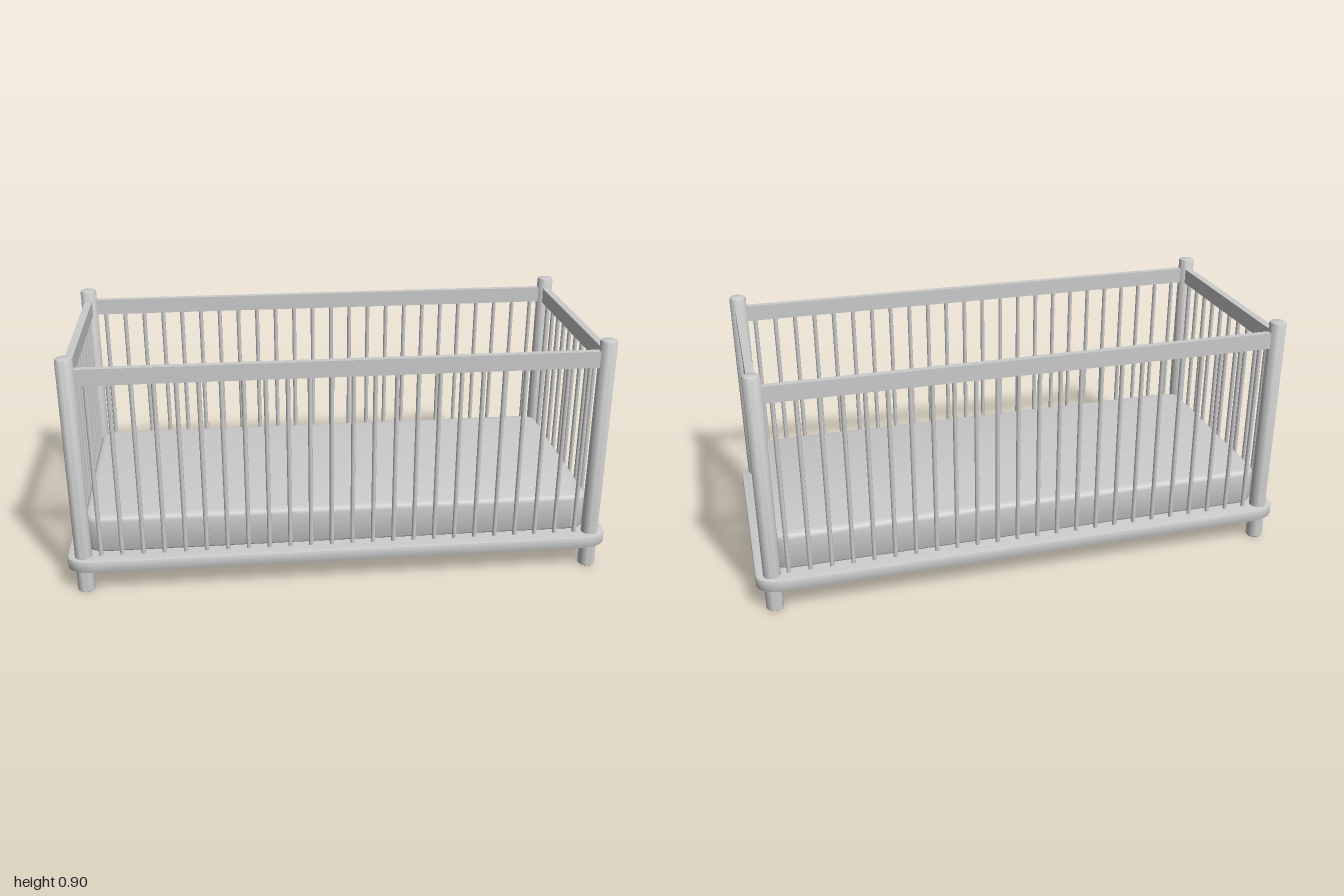
import * as THREE from 'three';
import { toCreasedNormals } from 'three/addons/utils/BufferGeometryUtils.js';

const material = new THREE.MeshStandardMaterial({ color: 0xcccccc });
const POST_X = 0.942, POST_Z = 0.401;

function add(parent, name, geometry, x = 0, y = 0, z = 0) {
  const mesh = new THREE.Mesh(geometry, material);
  mesh.name = name;
  mesh.position.set(x, y, z);
  parent.add(mesh);
}

// Flat slab with elliptical corners (rx, rz) and bevelled edges, bottom at y = 0
function slab(halfX, halfZ, height, rx, rz, bevel, segments, crease) {
  const a = halfX - bevel, b = halfZ - bevel;
  const cx = a - rx, cz = b - rz;
  const shape = new THREE.Shape();
  shape.moveTo(a, -cz);
  [[cx, cz], [-cx, cz], [-cx, -cz], [cx, -cz]].forEach(([x, z], i) =>
    shape.absellipse(x, z, rx, rz, i * Math.PI / 2, (i + 1) * Math.PI / 2, false, 0));
  const geometry = new THREE.ExtrudeGeometry(shape, {
    depth: height - 2 * bevel, bevelEnabled: true, bevelThickness: bevel,
    bevelSize: bevel, bevelSegments: segments, curveSegments: 8,
  });
  geometry.translate(0, 0, bevel);
  geometry.rotateX(-Math.PI / 2);
  return toCreasedNormals(geometry, crease);
}

export function createModel() {
  const crib = new THREE.Group();
  crib.name = 'crib';

  // Base board and mattress
  add(crib, 'base', slab(1, 0.455, 0.046, 0.095, 0.055, 0.005, 2, 0.6), 0, 0.092, 0);
  add(crib, 'mattress', slab(0.932, 0.392, 0.145, 0.05, 0.03, 0.02, 4, 0.7), 0, 0.138, 0);

  // Corner posts with softened ends
  const r = 0.031;
  const profile = [[0, 0], [r - 0.003, 0], [r, 0.003], [r, 0.892], [r - 0.003, 0.898], [r - 0.007, 0.9], [0, 0.9]]
    .map(([x, y]) => new THREE.Vector2(x, y));
  const postGeometry = toCreasedNormals(new THREE.LatheGeometry(profile, 24), 0.6);
  for (const sx of [-1, 1])
    for (const sz of [-1, 1]) add(crib, 'post', postGeometry, sx * POST_X, 0, sz * POST_Z);

  // Top rails and bars along each side
  const longRail = new THREE.BoxGeometry(2 * POST_X, 0.06, 0.024);
  const endRail = new THREE.BoxGeometry(0.028, 0.06, 2 * POST_Z);
  const barGeometry = new THREE.CylinderGeometry(0.008, 0.008, 0.69, 12, 1, true);
  const step = 0.0766;
  for (const s of [-1, 1]) {
    const longSide = new THREE.Group();
    longSide.name = s > 0 ? 'frontSide' : 'backSide';
    add(longSide, 'longRail', longRail, 0, 0.83, s * POST_Z);
    for (let i = 0; i < 24; i++)
      add(longSide, 'bar', barGeometry, -0.879 + i * step, 0.47, s * POST_Z);

    const end = new THREE.Group();
    end.name = s > 0 ? 'leftEnd' : 'rightEnd';
    add(end, 'endRail', endRail, s * POST_X, 0.83, 0);
    for (let i = 0; i < 10; i++)
      add(end, 'bar', barGeometry, s * POST_X, 0.47, 0.353 - i * step);
    crib.add(longSide, end);
  }
  return crib;
}
